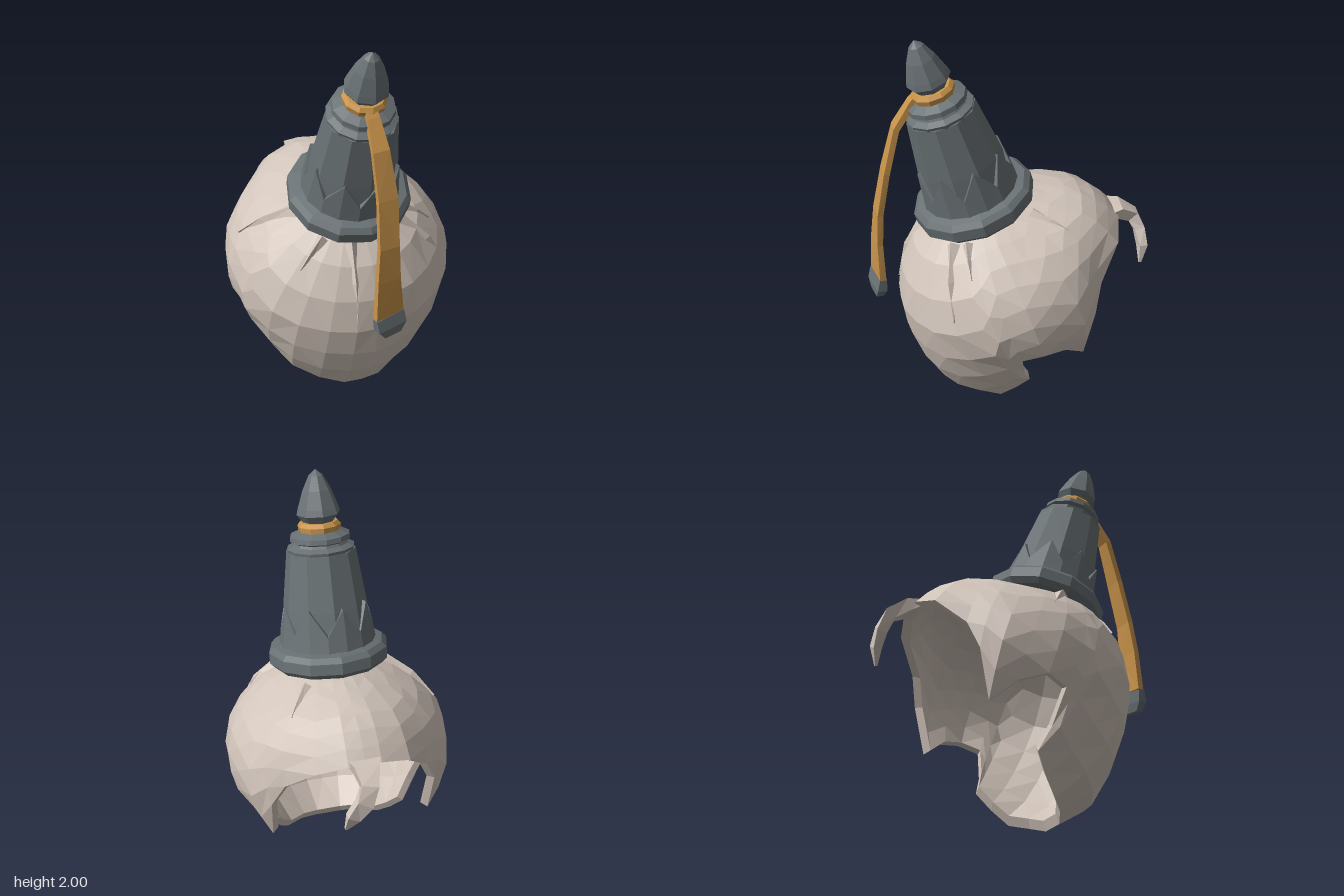
import * as THREE from 'three';

const V = (x, y, z) => new THREE.Vector3(x, y, z);
const mat = (name, color) => {
  const m = new THREE.MeshStandardMaterial({ color, flatShading: true });
  m.name = name;
  return m;
};

// Flat-shaded skin over rows of points (rows run downward, columns run counterclockwise from above)
function skin(rows, closed = true) {
  const pos = [];
  const tri = (a, b, c) => {
    const area = b.clone().sub(a).cross(c.clone().sub(a)).length();
    if (area > 1e-7) for (const p of [a, b, c]) pos.push(p.x, p.y, p.z);
  };
  for (let r = 0; r < rows.length - 1; r++) {
    const n = rows[r].length;
    for (let i = 0; i < (closed ? n : n - 1); i++) {
      const j = (i + 1) % n;
      const a = rows[r][i], b = rows[r + 1][i], c = rows[r + 1][j], d = rows[r][j];
      // Split each quad along its shorter diagonal
      if (a.distanceTo(c) < b.distanceTo(d)) { tri(a, b, c); tri(a, c, d); } else { tri(a, b, d); tri(b, c, d); }
    }
  }
  const g = new THREE.BufferGeometry();
  g.setAttribute('position', new THREE.Float32BufferAttribute(pos, 3));
  g.computeVertexNormals();
  return g;
}

// Rectangular bar along a path; each section is [x, y, z, halfWidth, halfThickness, twist]
function bar(sections) {
  const p = sections.map(s => V(s[0], s[1], s[2]));
  const rows = sections.map((s, k) => {
    const T = p[Math.min(k + 1, p.length - 1)].clone().sub(p[Math.max(k - 1, 0)]).normalize();
    const S = V(1, 0, 0).addScaledVector(T, -T.x).normalize().applyAxisAngle(T, -(s[5] ?? 0));
    const N = T.clone().cross(S);
    return [[-1, 1], [1, 1], [1, -1], [-1, -1]].map(([a, b]) =>
      p[k].clone().addScaledVector(S, a * s[3]).addScaledVector(N, b * s[4]));
  });
  const end = k => Array(4).fill(p[k]);
  return skin([end(0), ...rows, end(p.length - 1)]);
}

// Shell radius by elevation angle, for the front, the sides and the bulging back
const C = V(0, 0.6, 0);
const FRONT = [[-90, .6], [-60, .635], [-45, .565], [-22, .545], [0, .552], [25, .56], [45, .57], [60, .555], [90, .55]];
const SIDE = [[-90, .6], [-65, .59], [-45, .515], [-18, .525], [0, .578], [18, .588], [31, .58], [59, .55], [90, .55]];
const BACK = [[-90, .58], [-20, .56], [0, .57], [25, .61], [40, .655], [52, .65], [70, .59], [90, .55]];
function lookUp(table, e) {
  let k = 1;
  while (k < table.length - 1 && table[k][0] < e) k++;
  const [a, ra] = table[k - 1], [b, rb] = table[k];
  return THREE.MathUtils.lerp(ra, rb, (e - a) / (b - a));
}
function radius(d) {
  const e = THREE.MathUtils.radToDeg(Math.asin(THREE.MathUtils.clamp(d.y, -1, 1)));
  const c = d.z / Math.max(Math.hypot(d.x, d.z), 1e-4);
  return THREE.MathUtils.lerp(lookUp(SIDE, e), lookUp(c > 0 ? FRONT : BACK, e), c * c);
}
const onShell = (p, lift = 0) => {
  const d = p.clone().sub(C).normalize();
  return C.clone().addScaledVector(d, radius(d) + lift);
};

// Broken lower edge, one half from front to back
const RIM = [
  [0, 0, .2], [.07, 0, .2], [.16, .03, .16], [.25, .06, .09], [.3, .14, .02], [.35, .23, -.04],
  [.41, .33, 0], [.5, .49, .03], [.53, .53, -.07], [.47, .5, -.19], [.4, .41, -.3], [.41, .65, -.35],
  [.35, .79, -.39], [.23, .93, -.5], [.08, .98, -.54], [0, .98, -.545]
];
const TILT = 0.288;

function shellGeometry() {
  const last = RIM.length - 1, count = last * 2, steps = 7;
  const outer = Array.from({ length: steps + 1 }, () => []);
  for (let i = 0; i < count; i++) {
    const k = i <= last ? i : count - i, side = i <= last ? 1 : -1;
    const rim = V(RIM[k][0] * side, RIM[k][1], RIM[k][2]).sub(C);
    const a = (i / count) * Math.PI * 2;
    const neck = V(Math.sin(a) * .21, 0, Math.cos(a) * .21)
      .applyAxisAngle(V(1, 0, 0), TILT).add(V(0, .49, .155));
    const from = neck.normalize(), to = rim.clone().normalize(), w = from.angleTo(to);
    for (let s = 0; s <= steps; s++) {
      const t = s / steps;
      const d = from.clone().multiplyScalar(Math.sin((1 - t) * w) / Math.sin(w))
        .addScaledVector(to, Math.sin(t * w) / Math.sin(w));
      const dent = .003 * Math.sin(k * 2.3 + s * 1.9) * Math.sin(t * Math.PI);
      const r = THREE.MathUtils.lerp(radius(d) + dent, rim.length(), t ** 4);
      outer[s].push(C.clone().addScaledVector(d, r));
    }
  }
  const inner = outer.map(row => row.map(p => C.clone().addScaledVector(p.clone().sub(C), .92)));
  return skin([...outer, ...inner.reverse()]);
}

// Pointed crease running from the collar down the shell
function foldGeometry(from, to, width) {
  const a = V(...from), b = V(...to);
  return skin([0, .5, 1].map(t => {
    const p = a.clone().lerp(b, t), N = p.clone().sub(C).normalize();
    const W = N.clone().cross(b.clone().sub(a)).normalize();
    const h = width * (1 - t);
    return [-1, 0, 1].map(s => onShell(p.clone().addScaledVector(W, s * h), s ? -.008 : .005 + h * .6));
  }), false);
}

function lathe(points, sides) {
  return new THREE.LatheGeometry(points.map(p => new THREE.Vector2(p[0], p[1])), sides);
}

// Raised zigzag skirt around the foot of the cone
function skirtGeometry(teeth) {
  const n = teeth * 2;
  const ring = f => Array.from({ length: n }, (_, i) => {
    const [r, y] = f(i % 2 === 0), a = ((i + .5) / n) * Math.PI * 2;
    return V(Math.sin(a) * r, y, Math.cos(a) * r);
  });
  return skin([
    ring(peak => peak ? [.17, .325] : [.185, .205]),
    ring(peak => peak ? [.212, .315] : [.226, .19]),
    ring(() => [.238, .1])
  ]);
}

export function createModel() {
  const model = new THREE.Group();
  const shellMat = mat('pale shell', 0xd2c5bb);
  shellMat.side = THREE.DoubleSide;
  const greyMat = mat('slate grey', 0x697174);
  const goldMat = mat('ochre gold', 0xc8934a);
  const add = (parent, name, geometry, material) => {
    const m = new THREE.Mesh(geometry, material);
    m.name = name;
    parent.add(m);
  };

  // Hollow shell with broken edge, hooked tail and creases
  add(model, 'shell', shellGeometry(), shellMat);
  add(model, 'tailHook', bar([
    [0, .985, -.5, .085, .015], [0, .975, -.56, .06, .03], [.005, .93, -.635, .04, .03],
    [.035, .86, -.665, .04, .025], [.09, .79, -.67, .032, .02], [.12, .71, -.655, .006, .006]
  ]), shellMat);
  const folds = [
    [[.22, 1.04, .32], [.44, .73, .35], .035],
    [[.25, 1.05, .25], [.39, .93, .25], .03],
    [[-.08, 1.02, .41], [-.1, .64, .54], .03],
    [[-.25, 1.06, .13], [-.5, .9, -.02], .05],
    [[.17, 1.13, -.08], [.27, 1.06, -.23], .035],
    [[-.2, 1.04, .34], [-.33, .9, .38], .03]
  ];
  for (const [from, to, width] of folds) add(model, 'crease', foldGeometry(from, to, width), shellMat);

  // Forward-leaning cap
  const cap = new THREE.Group();
  cap.name = 'cap';
  cap.position.set(0, 1.085, .155);
  cap.rotation.x = TILT;
  model.add(cap);
  add(cap, 'capFlange', lathe([[0, 0], [.275, 0], [.298, .025], [.298, .08], [.275, .105], [.23, .115], [0, .115]], 12), greyMat);
  add(cap, 'capCone', lathe([[.225, .1], [.205, .3], [.168, .57], [0, .57]], 10), greyMat);
  add(cap, 'zigzagSkirt', skirtGeometry(8), greyMat);
  add(cap, 'capShoulder', lathe([
    [.12, .555], [.16, .56], [.166, .585], [.135, .6], [.128, .612], [.148, .622], [.145, .645], [.1, .665], [0, .665]
  ], 12), greyMat);
  add(cap, 'goldRing', lathe([[.07, .655], [.1, .66], [.105, .69], [.09, .708], [0, .708]], 10), goldMat);
  add(cap, 'finial', lathe([[0, .695], [.07, .7], [.106, .745], [.098, .775], [.068, .86], [.035, .925], [0, .955]], 8), greyMat);

  // Hanging strap with weighted end, twisting slightly as it falls
  add(model, 'strap', bar([
    [-.005, 1.73, .41, .025, .02], [-.005, 1.69, .45, .03, .016], [0, 1.57, .53, .04, .014],
    [.012, 1.35, .59, .048, .014, .05], [.005, 1.12, .635, .05, .014, .1], [0, .95, .65, .06, .014, .15],
    [.005, .75, .655, .075, .016, .2]
  ]), goldMat);
  add(model, 'strapEnd', bar([
    [.005, .75, .655, .077, .018, .2], [.012, .69, .664, .077, .024, .2], [.015, .645, .668, .045, .018, .2]
  ]), greyMat);

  return model;
}
